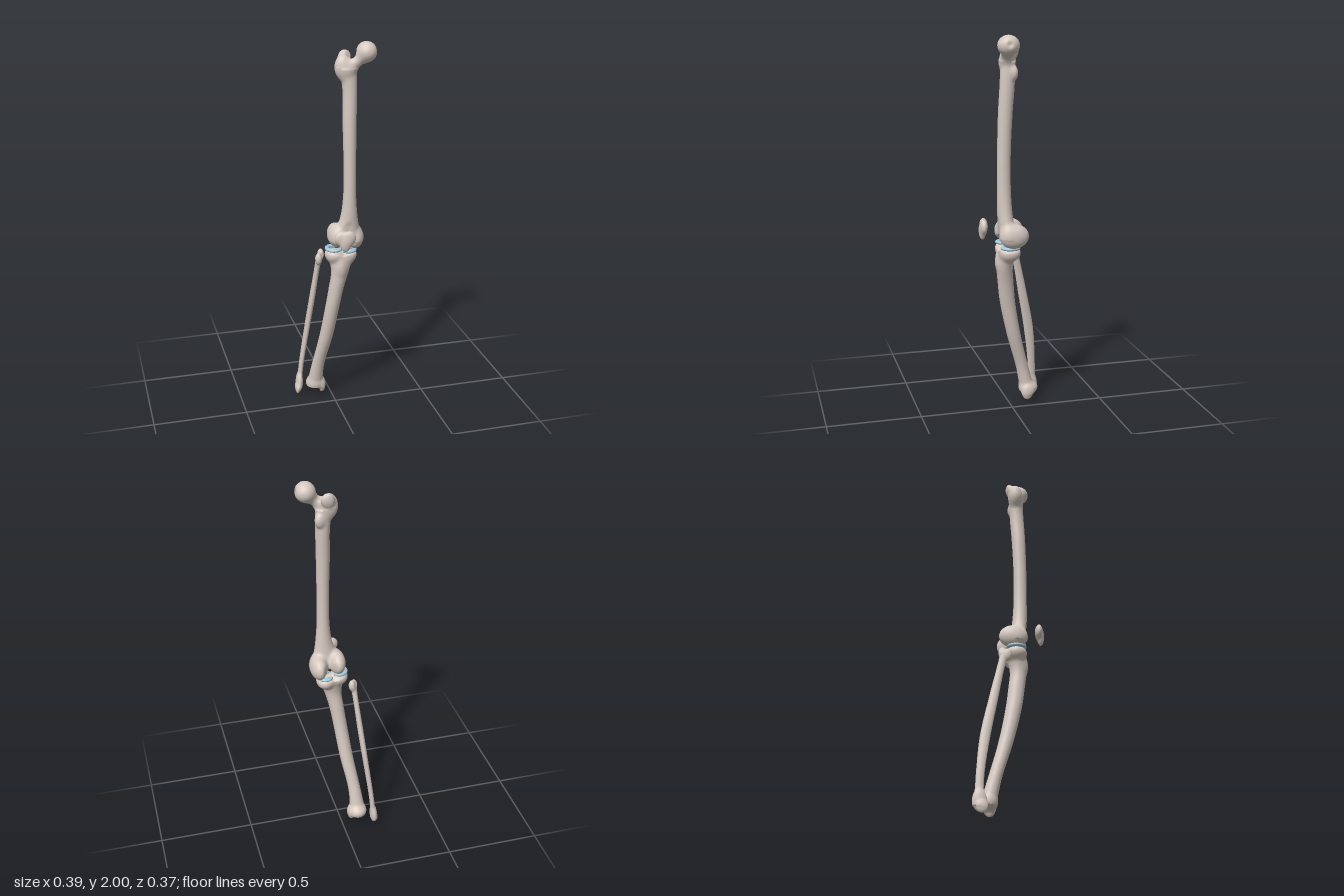
import * as THREE from 'three';

// ---- Distance-field shapes: negative inside, positive outside ----
const ball = (c, r) => (x, y, z) => {
  const a = (x - c[0]) / r[0], b = (y - c[1]) / r[1], d = (z - c[2]) / r[2];
  const k = Math.hypot(a, b, d);
  return k * (k - 1) / Math.max(Math.hypot(a / r[0], b / r[1], d / r[2]), 1e-6);
};

const rod = (a, b, r) => (x, y, z) => {
  const d = b.map((v, i) => v - a[i]), p = [x - a[0], y - a[1], z - a[2]];
  const t = (p[0] * d[0] + p[1] * d[1] + p[2] * d[2]) / (d[0] ** 2 + d[1] ** 2 + d[2] ** 2);
  const s = THREE.MathUtils.clamp(t, 0, 1);
  return Math.hypot(p[0] - d[0] * s, p[1] - d[1] * s, p[2] - d[2] * s) - r;
};

// Shaft through oval stations [y, x, z, radiusX, radiusZ], listed upwards
function shaft(stations) {
  const ys = stations.map(s => s[0]);
  const spline = new THREE.CubicInterpolant(ys, stations.flatMap(s => s.slice(1)), 4);
  const low = ys[0], high = ys[ys.length - 1];
  return (x, y, z) => {
    const [cx, cz, rx, rz] = spline.evaluate(THREE.MathUtils.clamp(y, low, high));
    const d = (Math.hypot((x - cx) / rx, (z - cz) / rz) - 1) * Math.min(rx, rz);
    return Math.max(d, y - high, low - y);
  };
}

const smoothMin = (a, b, k) => {
  const h = Math.max(k - Math.abs(a - b), 0) / k;
  return Math.min(a, b) - h * h * k / 4;
};
const blend = (k, ...parts) => (x, y, z) =>
  parts.reduce((d, part) => smoothMin(d, part(x, y, z), k), 1);
const carve = (k, body, ...tools) => (x, y, z) =>
  tools.reduce((d, tool) => -smoothMin(-d, tool(x, y, z), k), body(x, y, z));

// ---- Skin a distance field with a smooth quad net ----
function skin(field, min, max, h) {
  const n = min.map((v, i) => Math.ceil((max[i] - v) / h) + 1);
  const step = [1, n[0], n[0] * n[1]];
  const values = new Float32Array(n[0] * n[1] * n[2]);
  const eachNode = visit => {
    for (let k = 0, id = 0; k < n[2]; k++)
      for (let j = 0; j < n[1]; j++)
        for (let i = 0; i < n[0]; i++, id++) visit([i, j, k], id);
  };
  eachNode((p, id) => { values[id] = field(...p.map((v, a) => min[a] + v * h)); });

  const slope = p => [0, 1, 2].map(a => {
    const u = [...p], v = [...p];
    u[a] += 0.001; v[a] -= 0.001;
    return (field(...u) - field(...v)) / 0.002;
  });
  const cellVertex = new Int32Array(values.length).fill(-1);
  const positions = [], normals = [], index = [];

  // One vertex per crossed cell, pulled onto the surface
  eachNode((p, id) => {
    if (p.some((v, a) => v >= n[a] - 1)) return;
    const sum = [0, 0, 0];
    let count = 0;
    for (let c = 0; c < 8; c++) for (let a = 0; a < 3; a++) {
      if (c >> a & 1) continue;
      const o = [c & 1, c >> 1 & 1, c >> 2 & 1];
      const from = id + o[0] * step[0] + o[1] * step[1] + o[2] * step[2];
      const v0 = values[from], v1 = values[from + step[a]];
      if ((v0 < 0) === (v1 < 0)) continue;
      o[a] = v0 / (v0 - v1);
      o.forEach((v, b) => { sum[b] += v; });
      count++;
    }
    if (!count) return;
    let q = sum.map((v, a) => min[a] + (p[a] + v / count) * h);
    let g = slope(q);
    const move = THREE.MathUtils.clamp(field(...q) / Math.max(Math.hypot(...g) ** 2, 0.1), -h / 2, h / 2);
    q = q.map((v, a) => v - g[a] * move);
    g = slope(q);
    const length = Math.hypot(...g) || 1;
    cellVertex[id] = positions.length / 3;
    positions.push(...q);
    normals.push(...g.map(v => v / length));
  });

  // One quad around every crossed grid edge
  eachNode((p, id) => {
    for (let a = 0; a < 3; a++) {
      const b = (a + 1) % 3, c = (a + 2) % 3;
      if (p[a] >= n[a] - 1 || !p[b] || !p[c]) continue;
      const inside = values[id] < 0;
      if (inside === (values[id + step[a]] < 0)) continue;
      const q = [id, id - step[b], id - step[b] - step[c], id - step[c]].map(v => cellVertex[v]);
      if (q.some(v => v < 0)) continue;
      if (!inside) q.reverse();
      index.push(q[0], q[1], q[2], q[0], q[2], q[3]);
    }
  });

  const geometry = new THREE.BufferGeometry();
  geometry.setAttribute('position', new THREE.Float32BufferAttribute(positions, 3));
  geometry.setAttribute('normal', new THREE.Float32BufferAttribute(normals, 3));
  geometry.setIndex(index);
  return geometry;
}

export function createModel() {
  const bone = new THREE.MeshStandardMaterial({ color: 0xd6c9c0 });
  bone.name = 'bone';
  const cartilage = new THREE.MeshStandardMaterial({ color: 0x9fc8da });
  cartilage.name = 'cartilage';
  const model = new THREE.Group();
  model.name = 'legBones';
  const add = (name, material, field, min, max, h) => {
    const mesh = new THREE.Mesh(skin(field, min, max, h), material);
    mesh.name = name;
    model.add(mesh);
  };

  // Thigh bone: shaft, condyles, trochanters, neck and head
  const thigh = blend(0.025,
    shaft([
      [0.98, 0.045, 0.045, 0.07, 0.04], [1.03, 0.05, 0.05, 0.062, 0.042],
      [1.1, 0.056, 0.056, 0.045, 0.039], [1.2, 0.058, 0.06, 0.034, 0.036],
      [1.4, 0.058, 0.06, 0.032, 0.035], [1.6, 0.058, 0.053, 0.035, 0.037],
      [1.78, 0.06, 0.042, 0.037, 0.038], [1.86, 0.052, 0.04, 0.043, 0.036]]),
    ball([0.095, 0.977, 0.015], [0.046, 0.064, 0.077]),
    ball([-0.005, 0.993, 0.02], [0.043, 0.062, 0.075]),
    ball([0.03, 1.875, 0.035], [0.044, 0.062, 0.038]),
    ball([0.045, 1.92, 0], [0.032, 0.034, 0.019]),
    ball([0.085, 1.81, 0.012], [0.02, 0.03, 0.018]),
    rod([0.05, 1.865, 0.045], [0.125, 1.93, 0.057], 0.029),
    ball([0.142, 1.949, 0.057], [0.051, 0.051, 0.056]));
  add('thighBone', bone, carve(0.02, thigh,
    rod([0.045, 0.9, 0.125], [0.045, 1.05, 0.125], 0.033),  // kneecap groove
    rod([0.045, 0.9, -0.045], [0.045, 0.99, -0.06], 0.028), // notch between condyles
    ball([0.072, 1.94, 0.035], [0.016, 0.022, 0.02]),       // hollow behind the neck
    ball([0.196, 1.955, 0.06], [0.008, 0.008, 0.008])),     // pit in the head
    [-0.09, 0.87, -0.1], [0.22, 2.03, 0.14], 0.0075);

  // Shin bone: plateau, front ridge, shaft and inner ankle
  const shin = blend(0.02,
    shaft([
      [0.06, -0.09, -0.108, 0.044, 0.04], [0.1, -0.089, -0.1, 0.04, 0.038],
      [0.2, -0.08, -0.076, 0.034, 0.034], [0.4, -0.047, -0.02, 0.036, 0.037],
      [0.6, -0.021, 0.022, 0.037, 0.041], [0.7, -0.006, 0.035, 0.039, 0.042],
      [0.8, 0.012, 0.045, 0.047, 0.043], [0.89, 0.02, 0.034, 0.07, 0.05]]),
    ball([0.058, 0.88, 0.025], [0.046, 0.042, 0.053]),
    ball([-0.019, 0.892, 0.035], [0.046, 0.04, 0.053]),
    ball([0.01, 0.83, 0.068], [0.024, 0.05, 0.026]),
    ball([-0.088, 0.075, -0.115], [0.048, 0.036, 0.05]),
    ball([-0.054, 0.055, -0.1], [0.019, 0.04, 0.03]));
  const plateauCut = (x, y) => 0.913 - 0.15 * x - y;
  add('shinBone', bone, blend(0.012,
    carve(0.012, shin, plateauCut, ball([-0.095, 0.025, -0.11], [0.026, 0.022, 0.036])),
    ball([0.012, 0.908, 0.03], [0.009, 0.017, 0.013]),
    ball([0.03, 0.906, 0.03], [0.009, 0.016, 0.013])),
    [-0.17, -0.02, -0.19], [0.13, 0.96, 0.13], 0.0075);

  // Slim outer bone of the lower leg
  add('calfBone', bone, blend(0.015,
    shaft([
      [0.04, -0.174, -0.15, 0.014, 0.028], [0.1, -0.166, -0.153, 0.013, 0.022],
      [0.2, -0.155, -0.149, 0.013, 0.021], [0.4, -0.13, -0.126, 0.014, 0.026],
      [0.6, -0.108, -0.087, 0.015, 0.024], [0.8, -0.088, -0.045, 0.014, 0.02],
      [0.86, -0.082, -0.03, 0.016, 0.022]]),
    ball([-0.089, 0.853, -0.012], [0.017, 0.032, 0.02]),
    ball([-0.071, 0.869, -0.04], [0.017, 0.03, 0.021]),
    ball([-0.17, 0.062, -0.151], [0.017, 0.052, 0.034]),
    ball([-0.183, 0.03, -0.138], [0.012, 0.029, 0.026])),
    [-0.22, -0.02, -0.21], [-0.03, 0.93, 0.03], 0.006);

  // Kneecap with a pointed lower end
  add('kneecap', bone, blend(0.02,
    ball([-0.01, 1.022, 0.153], [0.035, 0.038, 0.02]),
    ball([0.03, 1.022, 0.161], [0.034, 0.038, 0.02]),
    ball([0.01, 0.985, 0.164], [0.025, 0.034, 0.016])),
    [-0.07, 0.93, 0.11], [0.09, 1.09, 0.21], 0.006);

  // Crescent pads between the thigh and shin bones, open towards the middle
  for (const [name, x, y, z, side] of [
    ['outerKneePad', -0.02, 0.925, 0.035, 1], ['innerKneePad', 0.06, 0.909, 0.025, -1]]) {
    const ring = (px, py, pz) => {
      const out = Math.hypot(px - x, (pz - z) * 0.88) - 0.034;
      return Math.hypot(out, (py - y) * 1.3) - 0.012;
    };
    add(name, cartilage, carve(0.008, ring, ball([x + side * 0.036, y, z], [0.024, 0.03, 0.024])),
      [x - 0.06, y - 0.025, z - 0.07], [x + 0.06, y + 0.025, z + 0.07], 0.004);
  }
  return model;
}
